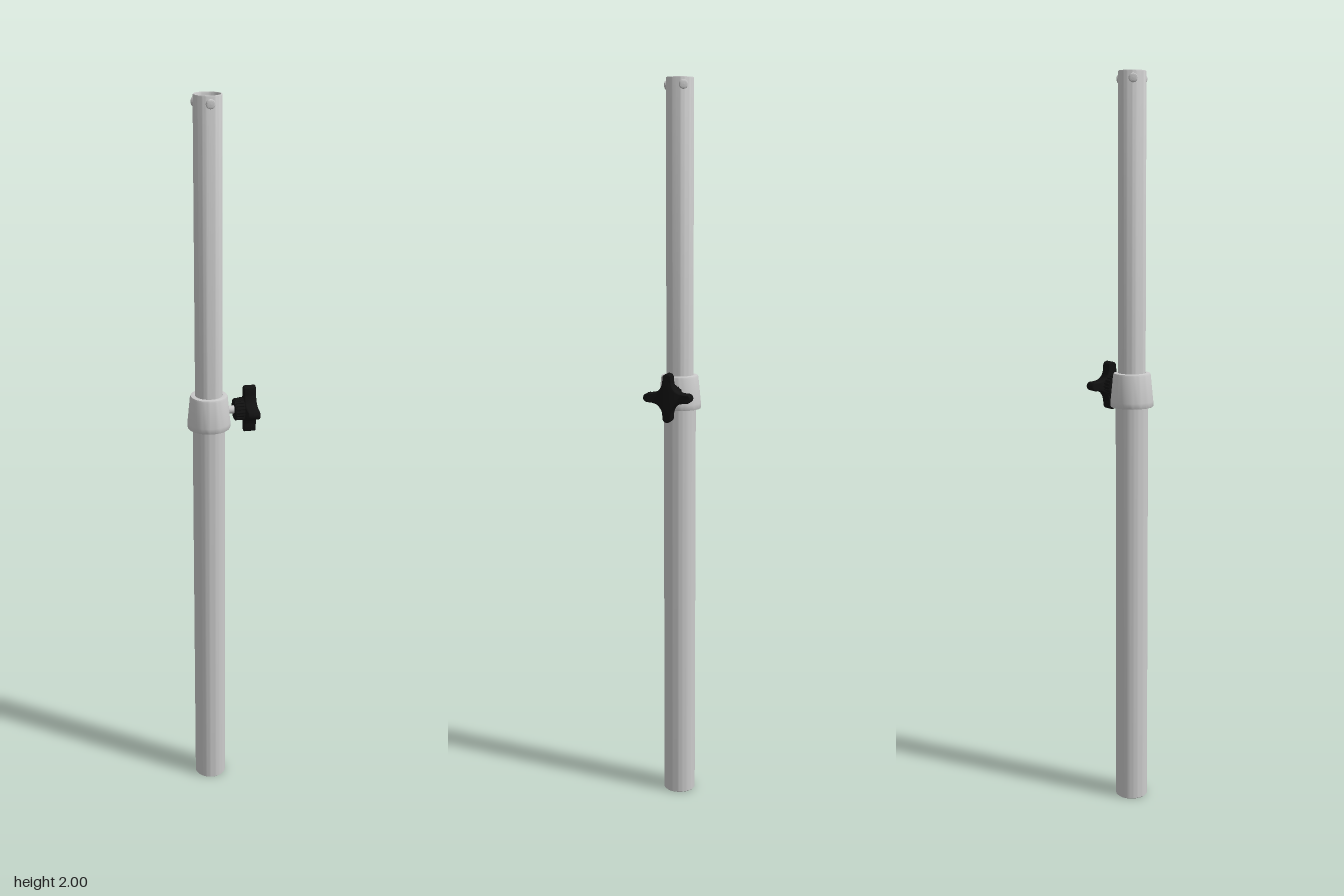
import * as THREE from 'three';
import { toCreasedNormals } from 'three/addons/utils/BufferGeometryUtils.js';

const AXIS = -0.035;   // pole axis in x
const KNOB_Y = 1.165;

const grey = new THREE.MeshStandardMaterial({ color: 0xcccccc });
const black = new THREE.MeshStandardMaterial({ color: 0x111111 });

function part(parent, name, geometry, material = grey) {
  const mesh = new THREE.Mesh(geometry, material);
  mesh.name = name;
  parent.add(mesh);
  return mesh;
}

// Revolved [radius, height] profile with crisp edges
function turned(points, segments = 48) {
  const lathe = new THREE.LatheGeometry(points.map(([r, y]) => new THREE.Vector2(r, y)), segments);
  return toCreasedNormals(lathe, 0.5);
}

// Cylinder lying along x between x0 and x1
function rodX(radius, x0, x1, segments = 32) {
  return new THREE.CylinderGeometry(radius, radius, x1 - x0, segments)
    .rotateZ(Math.PI / 2).translate((x0 + x1) / 2, 0, 0);
}

// Four-armed star with rounded tips and hollow flanks
function starShape(reach, halfTip, valley) {
  const shape = new THREE.Shape();
  const base = reach - halfTip;
  shape.moveTo(base, -halfTip);
  for (let i = 0; i < 4; i++) {
    const a = i * Math.PI / 2;
    const at = (x, y) => [x * Math.cos(a) - y * Math.sin(a), x * Math.sin(a) + y * Math.cos(a)];
    shape.absarc(...at(base, 0), halfTip, a - Math.PI / 2, a + Math.PI / 2, false);
    shape.bezierCurveTo(...at(valley, halfTip), ...at(halfTip, valley), ...at(halfTip, base));
  }
  return shape;
}

export function createModel() {
  const model = new THREE.Group();
  model.name = 'telescopicPole';

  const pole = new THREE.Group();
  pole.name = 'pole';
  pole.position.x = AXIS;
  model.add(pole);

  // Lower tube, closed at the foot
  part(pole, 'lowerTube', turned([
    [0, 0], [0.042, 0], [0.044, 0.002], [0.044, 1.15], [0.039, 1.15], [0.039, 0.01], [0, 0.01],
  ]));

  // Upper tube, open at the top
  part(pole, 'upperTube', turned([
    [0.0325, 1.0], [0.037, 1.0], [0.037, 1.998], [0.036, 2], [0.0335, 2], [0.0325, 1.998], [0.0325, 1.0],
  ]));

  // Tapered clamping collar
  part(pole, 'collar', turned([
    [0.0445, 1.14], [0.0445, 1.12], [0.057, 1.12], [0.058, 1.122], [0.058, 1.135],
    [0.051, 1.206], [0.049, 1.211], [0.045, 1.212], [0.0375, 1.212], [0.0375, 1.15], [0.0445, 1.14],
  ]));

  // Three spring buttons around the top end
  for (let i = 0; i < 3; i++) {
    const button = new THREE.Group();
    button.name = 'springButton';
    button.position.y = 1.98;
    button.rotation.y = i * Math.PI * 2 / 3;
    pole.add(button);
    part(button, 'buttonHead', turned([
      [0.012, 0.034], [0.012, 0.038], [0.0105, 0.0405], [0.007, 0.042], [0, 0.043],
    ], 24).rotateX(Math.PI / 2));
    part(button, 'buttonShank', new THREE.BoxGeometry(0.012, 0.012, 0.012).translate(0, 0, 0.029), black);
  }

  // Clamping knob on the left side
  const knob = new THREE.Group();
  knob.name = 'clampKnob';
  knob.position.y = KNOB_Y;
  model.add(knob);
  part(knob, 'stud', rodX(0.011, AXIS, 0.05));
  part(knob, 'hub', rodX(0.028, 0.034, 0.062));
  knob.children[1].material = black;

  // Grip ribs around the hub
  for (let i = 0; i < 20; i++) {
    const a = i * Math.PI / 10;
    const rib = part(knob, 'hubRib', rodX(0.0025, 0.036, 0.06, 8), black);
    rib.position.set(0, 0.028 * Math.cos(a), 0.028 * Math.sin(a));
  }

  const star = new THREE.ExtrudeGeometry(starShape(0.063, 0.009, 0.023), {
    depth: 0.027, bevelThickness: 0.003, bevelSize: 0.003, bevelSegments: 3, curveSegments: 14,
  }).rotateY(Math.PI / 2).translate(0.063, 0, 0);
  part(knob, 'starGrip', toCreasedNormals(star, 0.6), black);

  return model;
}
